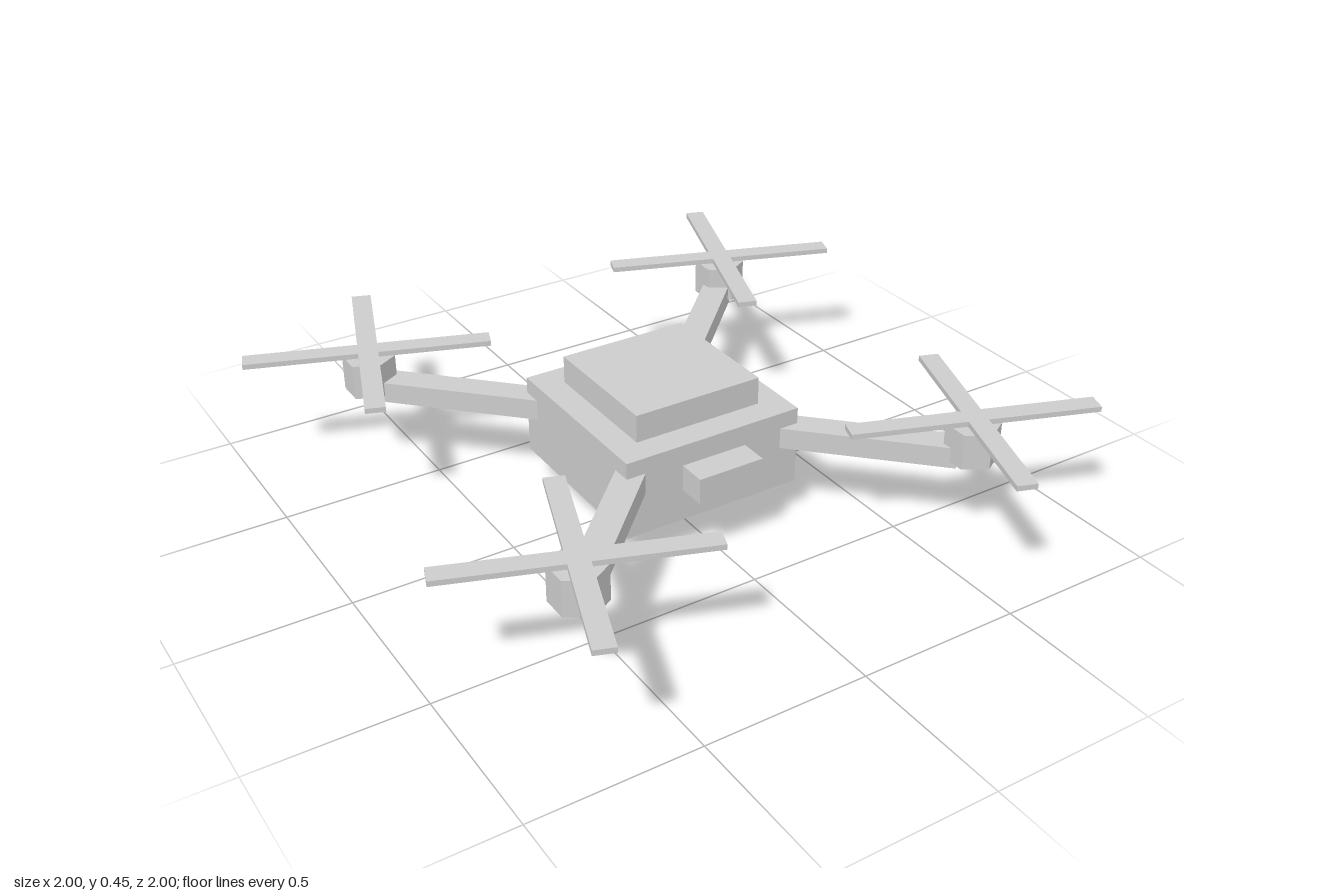
import * as THREE from 'three';

export function createModel() {
  const model = new THREE.Group();
  model.name = 'quadcopter';
  const grey = new THREE.MeshStandardMaterial({ color: 0xcccccc });
  grey.name = 'light grey';

  const add = (parent, name, geometry, x, y, z, turn = 0) => {
    const mesh = new THREE.Mesh(geometry, grey);
    mesh.name = name;
    mesh.position.set(x, y, z);
    mesh.rotation.y = turn;
    parent.add(mesh);
    return mesh;
  };
  // Faceted six-sided prism with a corner towards +z
  const hexPrism = (radius, height) =>
    new THREE.CylinderGeometry(radius, radius, height, 6).toNonIndexed();
  const hexFlat = (radius, height) => {
    const g = hexPrism(radius, height);
    g.computeVertexNormals();
    return g;
  };

  // Central body, lid, front sensor and belly camera
  add(model, 'body', new THREE.BoxGeometry(0.575, 0.245, 0.575), 0, 0.2425, 0);
  add(model, 'topCover', new THREE.BoxGeometry(0.41, 0.085, 0.41), 0, 0.4075, 0);
  add(model, 'frontSensor', new THREE.BoxGeometry(0.21, 0.08, 0.1), 0, 0.26, 0.325);
  add(model, 'bellyCamera', hexFlat(0.097, 0.12), 0, 0.06, 0);

  // Four diagonal arms, each with a motor and a crossed rotor
  const reach = 0.64, inner = 0.2, outer = 0.615;
  const armGeometry = new THREE.BoxGeometry((outer - inner) * Math.SQRT2, 0.065, 0.085);
  const motorGeometry = hexFlat(0.08, 0.11);
  const bladeGeometry = new THREE.BoxGeometry(0.74, 0.016, 0.06);
  const bladeTurn = THREE.MathUtils.degToRad(-20);

  for (const sx of [-1, 1]) {
    for (const sz of [-1, 1]) {
      const unit = new THREE.Group();
      unit.name = (sz > 0 ? 'front' : 'back') + (sx > 0 ? 'Left' : 'Right') + 'Rotor';
      const mid = (inner + outer) / 2;
      add(unit, 'arm', armGeometry, sx * mid, 0.2825, sz * mid, -sx * sz * Math.PI / 4);
      add(unit, 'motor', motorGeometry, sx * reach, 0.325, sz * reach);
      for (const quarter of [0, 1]) {
        add(unit, 'blade', bladeGeometry, sx * reach, 0.397, sz * reach,
          bladeTurn + quarter * Math.PI / 2);
      }
      model.add(unit);
    }
  }
  return model;
}
